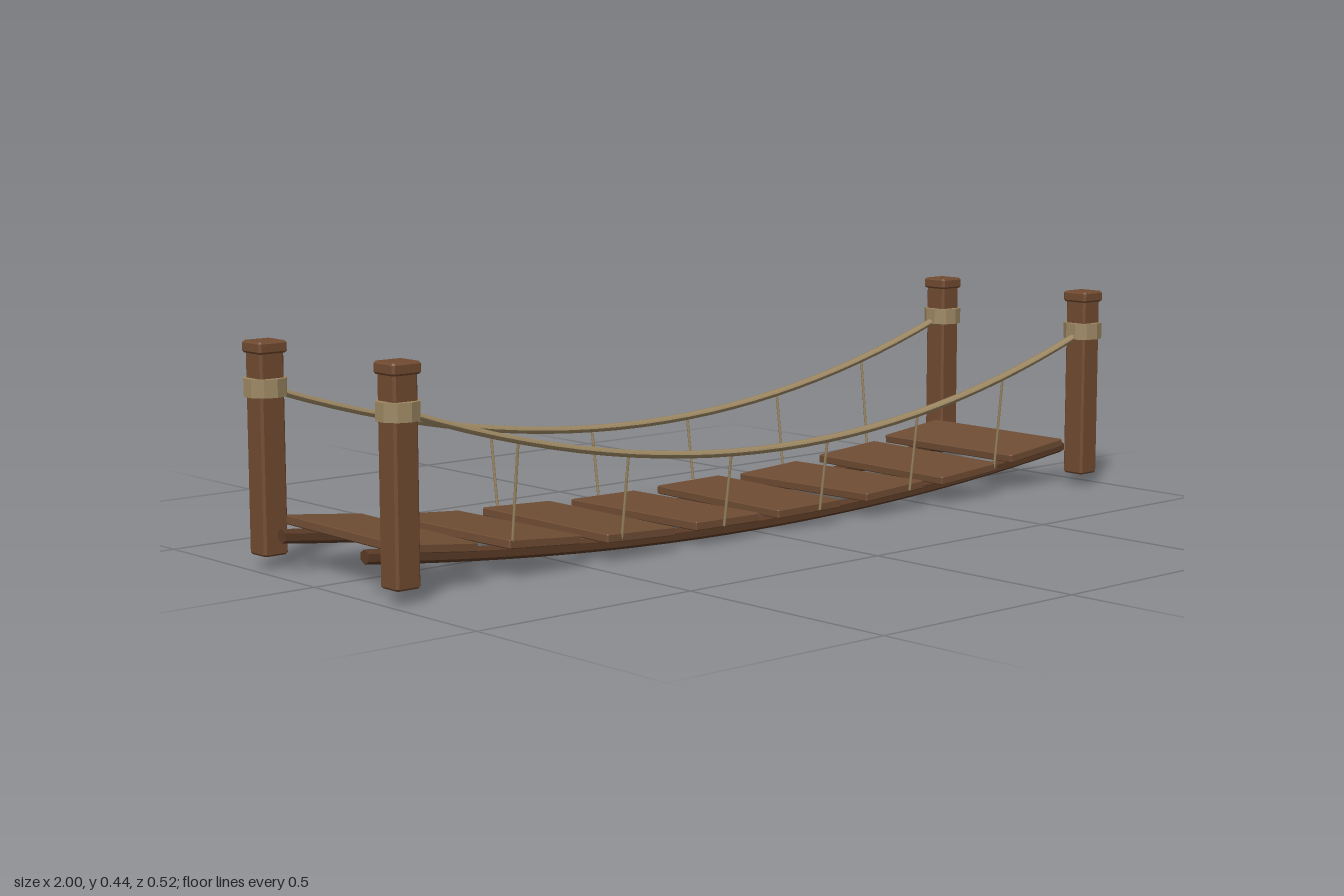
import * as THREE from 'three';

const mat = (name, color) => {
  const m = new THREE.MeshStandardMaterial({ color });
  m.name = name;
  return m;
};

// Box with flat chamfers on every edge, centred on the origin
function chamferBox(w, h, d, c) {
  const x = w / 2 - c, y = d / 2 - c, k = c * 0.6;
  const shape = new THREE.Shape([
    [-x + k, -y], [x - k, -y], [x, -y + k], [x, y - k],
    [x - k, y], [-x + k, y], [-x, y - k], [-x, -y + k],
  ].map(([a, b]) => new THREE.Vector2(a, b)));
  const g = new THREE.ExtrudeGeometry(shape, {
    depth: h - 2 * c, bevelEnabled: true, bevelSegments: 1, bevelSize: c, bevelThickness: c,
  });
  return g.translate(0, 0, -h / 2 + c).rotateX(-Math.PI / 2);
}

export function createModel() {
  const model = new THREE.Group();
  model.name = 'ropeBridge';
  const wood = mat('plankWood', 0x6e4c33);
  const postWood = mat('postWood', 0x704a30);
  const beamWood = mat('beamWood', 0x5a3a26);
  const rope = mat('rope', 0x9c8762);

  const add = (name, geometry, material, x = 0, y = 0, z = 0) => {
    const mesh = new THREE.Mesh(geometry, material);
    mesh.name = name;
    mesh.position.set(x, y, z);
    model.add(mesh);
    return mesh;
  };

  const POST_X = 0.957, POST_Z = 0.217;
  const beamY = x => 0.0145 + 0.0635 * x * x;
  const railY = x => 0.186 + 0.168 * (x / POST_X) ** 2;

  // Hanging tube along x, swept from vertical cross-section rings
  function sagTube(halfLength, height, radius, sides, steps) {
    const g = new THREE.CylinderGeometry(radius, radius, 2 * halfLength, sides, steps);
    g.rotateZ(-Math.PI / 2);
    const p = g.attributes.position;
    for (let i = 0; i < p.count; i++) p.setY(i, p.getY(i) + height(p.getX(i)));
    g.computeVertexNormals();
    return g;
  }

  // Four posts with caps and rope bindings
  const postGeo = chamferBox(0.055, 0.4, 0.055, 0.004);
  const capGeo = chamferBox(0.065, 0.024, 0.065, 0.004);
  const bindingGeo = new THREE.CylinderGeometry(0.043, 0.043, 0.036, 10).toNonIndexed();
  bindingGeo.computeVertexNormals();
  for (const sx of [-1, 1]) for (const sz of [-1, 1]) {
    const x = sx * POST_X, z = sz * POST_Z;
    add('post', postGeo, postWood, x, 0.226, z);
    add('postCap', capGeo, postWood, x, 0.433, z);
    add('ropeBinding', bindingGeo, rope, x, 0.355, z);
  }

  // Sagging support beams, hexagonal with a corner pointing down
  const beamGeo = sagTube(0.98, beamY, 0.0145, 6, 24);
  // Rotate the section so the corners point up and down
  {
    const p = beamGeo.attributes.position;
    for (let i = 0; i < p.count; i++) {
      const h = beamY(p.getX(i)), y = p.getY(i) - h, z = p.getZ(i);
      const r = Math.hypot(y, z), a = Math.atan2(y, z);
      // corners land on multiples of 60 degrees from vertical
      const t = Math.PI / 2 + Math.round((a - Math.PI / 2) / (Math.PI / 3) - 0.01) * Math.PI / 3;
      p.setY(i, h + r * Math.sin(t));
      p.setZ(i, r * Math.cos(t));
    }
  }
  const flatBeam = beamGeo.toNonIndexed();
  flatBeam.computeVertexNormals();
  const railGeo = sagTube(POST_X - 0.02, railY, 0.0085, 6, 28);
  for (const s of [-1, 1]) {
    add('supportBeam', flatBeam, beamWood, 0, 0, s * 0.137);
    add('handRope', railGeo, rope, 0, 0, s * 0.22);
  }

  // Thin hangers from hand rope to deck edge
  const up = new THREE.Vector3(0, 1, 0);
  for (const s of [-1, 1]) for (let i = 1; i < 7; i++) {
    const x = -POST_X + (i * 2 * POST_X) / 7;
    const top = new THREE.Vector3(x, railY(x), s * 0.22);
    const low = new THREE.Vector3(x, beamY(x) + 0.02, s * 0.198);
    const dir = top.clone().sub(low);
    const mid = top.clone().add(low).multiplyScalar(0.5);
    const hanger = add('hanger', new THREE.CylinderGeometry(0.003, 0.003, dir.length(), 5), rope, mid.x, mid.y, mid.z);
    hanger.quaternion.setFromUnitVectors(up, dir.normalize());
  }

  // Deck planks, each slightly askew: [z shift, yaw, cross tilt]
  const plankGeo = chamferBox(0.18, 0.018, 0.39, 0.002);
  [
    [-0.002, -0.02, 0.006], [0.006, 0.012, -0.008], [0.004, 0.02, 0.008], [-0.005, 0.02, -0.006],
    [-0.008, -0.015, 0.006], [0.001, 0.022, -0.008], [0.004, -0.012, 0.01], [-0.016, 0.014, 0.008],
  ].forEach(([dz, yaw, tilt], i) => {
    const x = -0.848 + i * 0.2423;
    const plank = add('plank', plankGeo, wood, x, beamY(x) + 0.024, dz);
    plank.rotation.set(tilt, yaw, Math.atan(0.127 * x));
  });

  return model;
}
